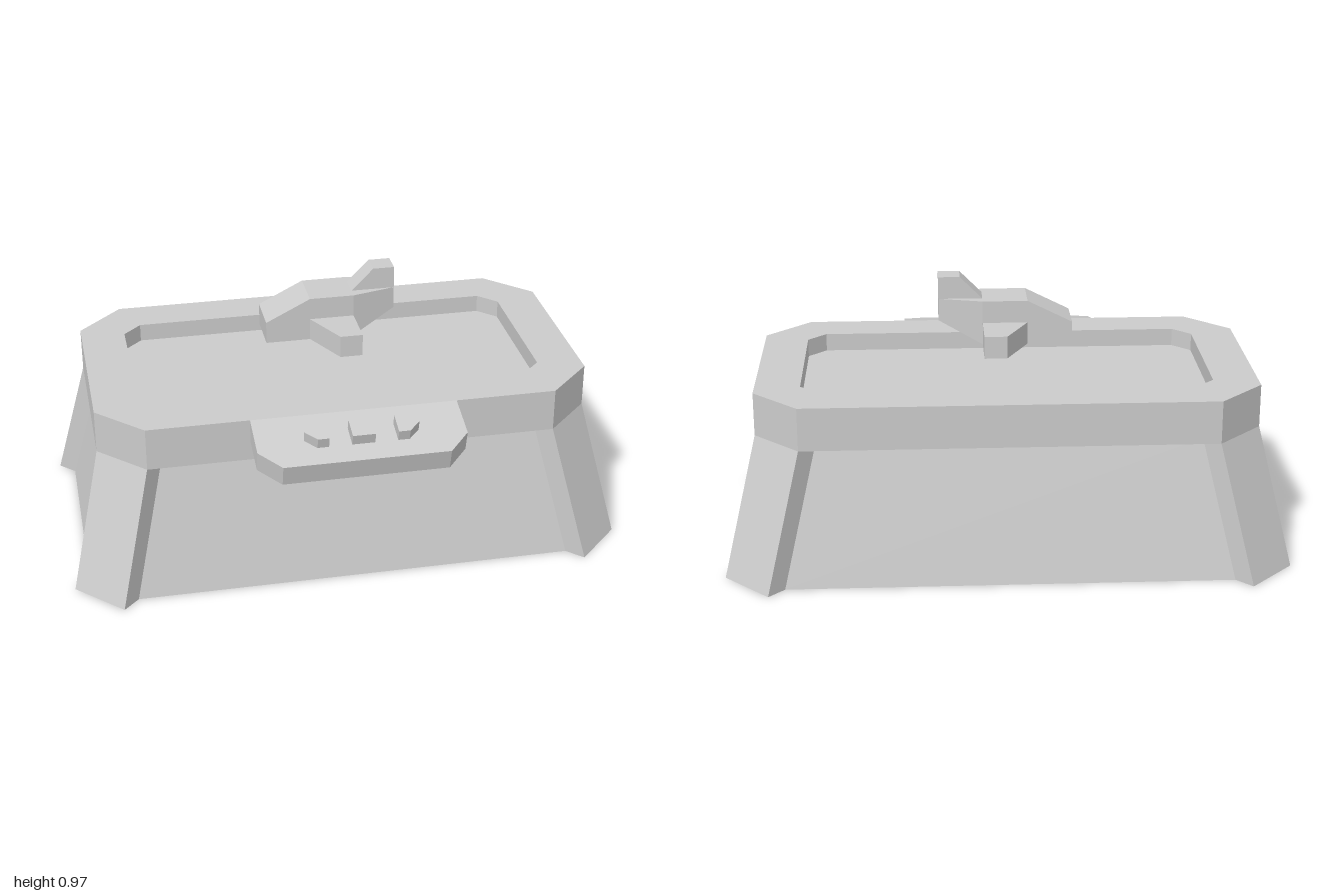
import * as THREE from 'three';

const material = new THREE.MeshStandardMaterial({ color: 0xcccccc, flatShading: true });

function add(parent, name, geometry) {
  const mesh = new THREE.Mesh(geometry, material);
  mesh.name = name;
  parent.add(mesh);
  return mesh;
}

// Solid through convex rings of [x, y, z], each counterclockwise seen from the end of the loft.
function loft(rings) {
  const out = [];
  const tri = (a, b, c) => out.push(...a, ...b, ...c);
  const n = rings[0].length;
  for (let r = 0; r < rings.length - 1; r++) {
    const a = rings[r], b = rings[r + 1];
    for (let i = 0; i < n; i++) {
      const j = (i + 1) % n;
      tri(a[i], a[j], b[j]);
      tri(a[i], b[j], b[i]);
    }
  }
  const first = rings[0], last = rings[rings.length - 1];
  for (let i = 1; i < n - 1; i++) {
    tri(first[0], first[i + 1], first[i]);
    tri(last[0], last[i], last[i + 1]);
  }
  const geometry = new THREE.BufferGeometry();
  geometry.setAttribute('position', new THREE.Float32BufferAttribute(out, 3));
  geometry.computeVertexNormals();
  return geometry;
}

// Chamfered rectangle, counterclockwise in a plane with y up.
const octagon = (x, y, c) => [
  [x, -y + c], [x, y - c], [x - c, y], [-x + c, y],
  [-x, y - c], [-x, -y + c], [-x + c, -y], [x - c, -y],
];
const level = (points, y) => points.map(([px, py]) => [px, y, -py]);

// Plate rising from its local y = 0, drawn in plan with -z as the shape's y.
function plate(points, height, hole) {
  const toVectors = (list) => list.map(([x, y]) => new THREE.Vector2(x, y));
  const shape = new THREE.Shape(toVectors(points));
  if (hole) shape.holes.push(new THREE.Path(toVectors(hole)));
  return new THREE.ExtrudeGeometry(shape, { depth: height, bevelEnabled: false }).rotateX(-Math.PI / 2);
}

export function createModel() {
  const model = new THREE.Group();
  model.name = 'displayTable';
  const table = new THREE.Group();
  table.name = 'table';
  table.position.z = -0.06;
  model.add(table);

  // Flared base
  const slabY = 0.49, flare = 0.115;
  add(table, 'base', loft([
    level(octagon(0.83 + flare, 0.425 + flare, 0.16), 0),
    level(octagon(0.83, 0.425, 0.16), slabY),
  ]));

  // Slanted corner pillars
  const d = 0.07;
  const plan = [[0.885, 0.32], [0.885 - d, 0.32 - d], [0.725 - d, 0.48 - d], [0.725, 0.48]];
  for (const sx of [1, -1]) {
    for (const sz of [1, -1]) {
      const ring = (y, out) => {
        const points = plan.map(([x, z]) => [sx * (x + out), y, sz * (z + out)]);
        return sx * sz < 0 ? points.reverse() : points;
      };
      add(table, 'cornerPillar', loft([ring(0, flare), ring(slabY, 0)]));
    }
  }

  // Table top: rim with a recessed floor
  const recess = octagon(0.725, 0.325, 0.065);
  add(table, 'rim', plate(octagon(0.885, 0.48, 0.16), 0.155, recess)).position.y = slabY;
  add(table, 'recessFloor', loft([level(recess, slabY), level(recess, 0.58)]));

  // Tilted control panel with three buttons
  const panel = new THREE.Group();
  panel.name = 'controlPanel';
  panel.position.set(0, 0.645, 0.42);
  panel.rotation.x = THREE.MathUtils.degToRad(15);
  model.add(panel);
  add(panel, 'panelPlate', plate([
    [-0.365, 0], [-0.365, -0.16], [-0.29, -0.24], [0.29, -0.24], [0.365, -0.16], [0.365, 0],
  ], 0.08)).position.y = -0.08;
  const arrow = [[-0.04, 0], [0, -0.04], [0.04, -0.04], [0.04, 0.04], [0, 0.04]];
  const square = [[-0.04, -0.04], [0.04, -0.04], [0.04, 0.04], [-0.04, 0.04]];
  const buttons = [
    ['leftArrowButton', -0.16, arrow],
    ['squareButton', 0, square],
    ['rightArrowButton', 0.16, arrow.map(([x, y]) => [-x, y])],
  ];
  for (const [name, x, points] of buttons) {
    add(panel, name, plate(points, 0.04)).position.set(x, 0, 0.123);
  }

  // Small aircraft hovering over the recess
  const aircraft = new THREE.Group();
  aircraft.name = 'hoveringAircraft';
  aircraft.position.set(0, 0.73, -0.06);
  model.add(aircraft);

  // Fuselage sections along x: position, bottom, top, half width
  const section = ([x, low, high, w]) => [[x, low, w], [x, low, -w], [x, high, -w], [x, high, w]];
  add(aircraft, 'fuselage', loft([
    [-0.24, 0, 0.08, 0.08], [-0.08, 0, 0.16, 0.08], [0.08, 0, 0.16, 0.08], [0.237, 0.08, 0.16, 0.04],
  ].map(section)));

  // Tail fin
  const fin = [[0.08, 0.16], [0.08, 0.12], [0.237, 0.08], [0.237, 0.24], [0.16, 0.24]];
  add(aircraft, 'tailFin', loft([-0.04, 0.04].map((z) => fin.map(([x, y]) => [x, y, z]))));

  // Swept wings
  for (const s of [1, -1]) {
    const outline = [[-0.08, 0.08], [0.08, 0.08], [0.08, 0.24], [0, 0.24]];
    const points = outline.map(([x, z]) => [x, -s * z]);
    if (s > 0) points.reverse();
    add(aircraft, s > 0 ? 'frontWing' : 'backWing', loft([level(points, 0), level(points, 0.08)]));
  }
  return model;
}
